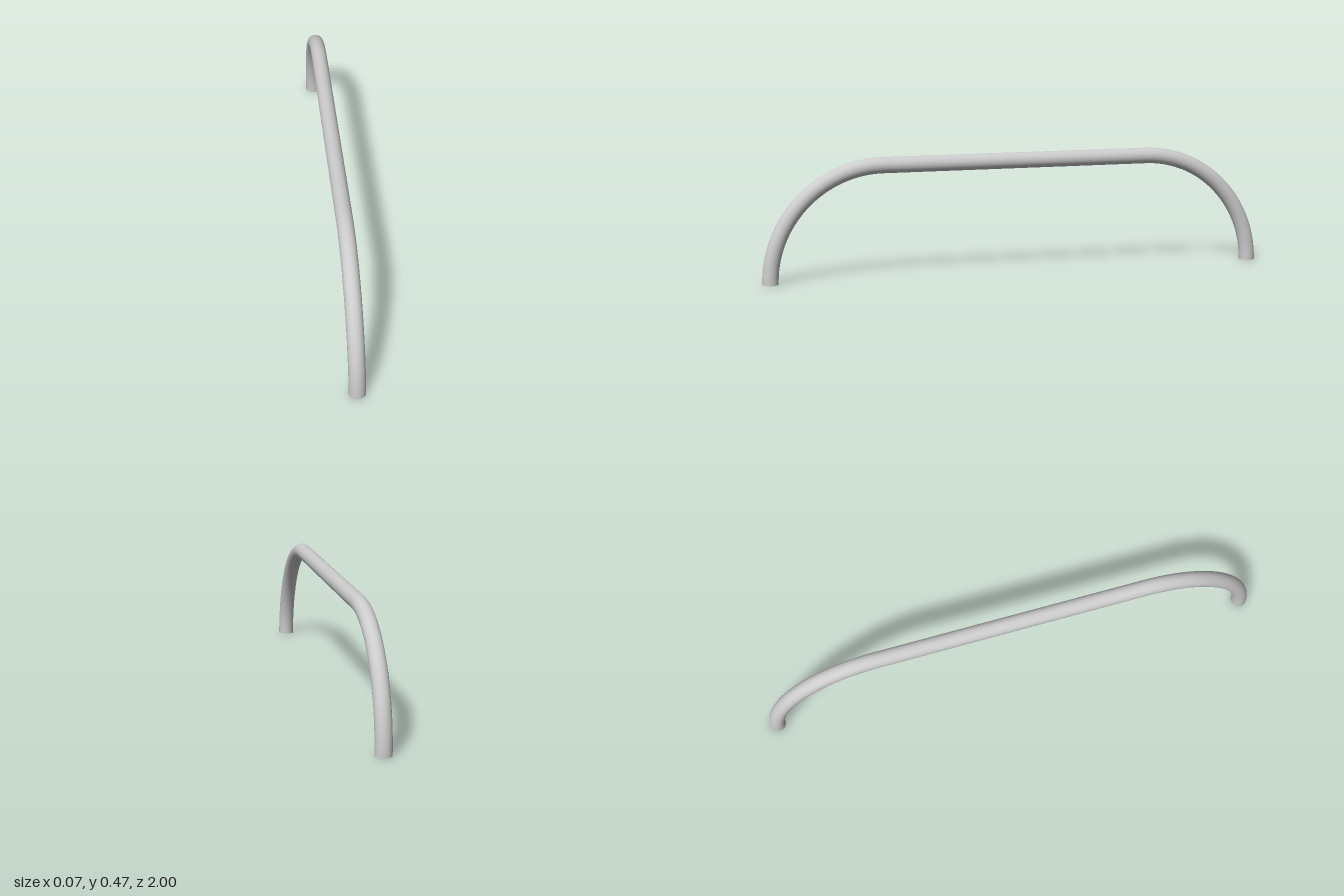
import * as THREE from 'three';

const RADIUS = 0.031;     // tube radius
const FOOT_Z = 0.969;     // centreline of each foot
const BEND = 0.44;        // bend radius, also the height of the bar's centreline
const LEAN = 0.003;       // slight sideways lean of the whole hoop

export function createModel() {
  const group = new THREE.Group();
  group.name = 'handrail';

  // Centreline point, leaning sideways with height
  const at = (y, z) => new THREE.Vector3(LEAN * (1 - 2 * y / BEND), y, z);
  const k = BEND * 0.5523;  // cubic handle length for a quarter circle
  const barZ = FOOT_Z - BEND;

  // Front bend, straight bar, rear bend
  const path = new THREE.CurvePath();
  path.add(new THREE.CubicBezierCurve3(
    at(0, FOOT_Z), at(k, FOOT_Z), at(BEND, barZ + k), at(BEND, barZ)));
  path.add(new THREE.LineCurve3(at(BEND, barZ), at(BEND, -barZ)));
  path.add(new THREE.CubicBezierCurve3(
    at(BEND, -barZ), at(BEND, -barZ - k), at(k, -FOOT_Z), at(0, -FOOT_Z)));

  // One bent tube, open at both feet
  const tube = new THREE.Mesh(
    new THREE.TubeGeometry(path, 120, RADIUS, 32, false),
    new THREE.MeshStandardMaterial({ color: 0xcccccc, side: THREE.DoubleSide }));
  tube.name = 'bentTube';
  group.add(tube);
  return group;
}
